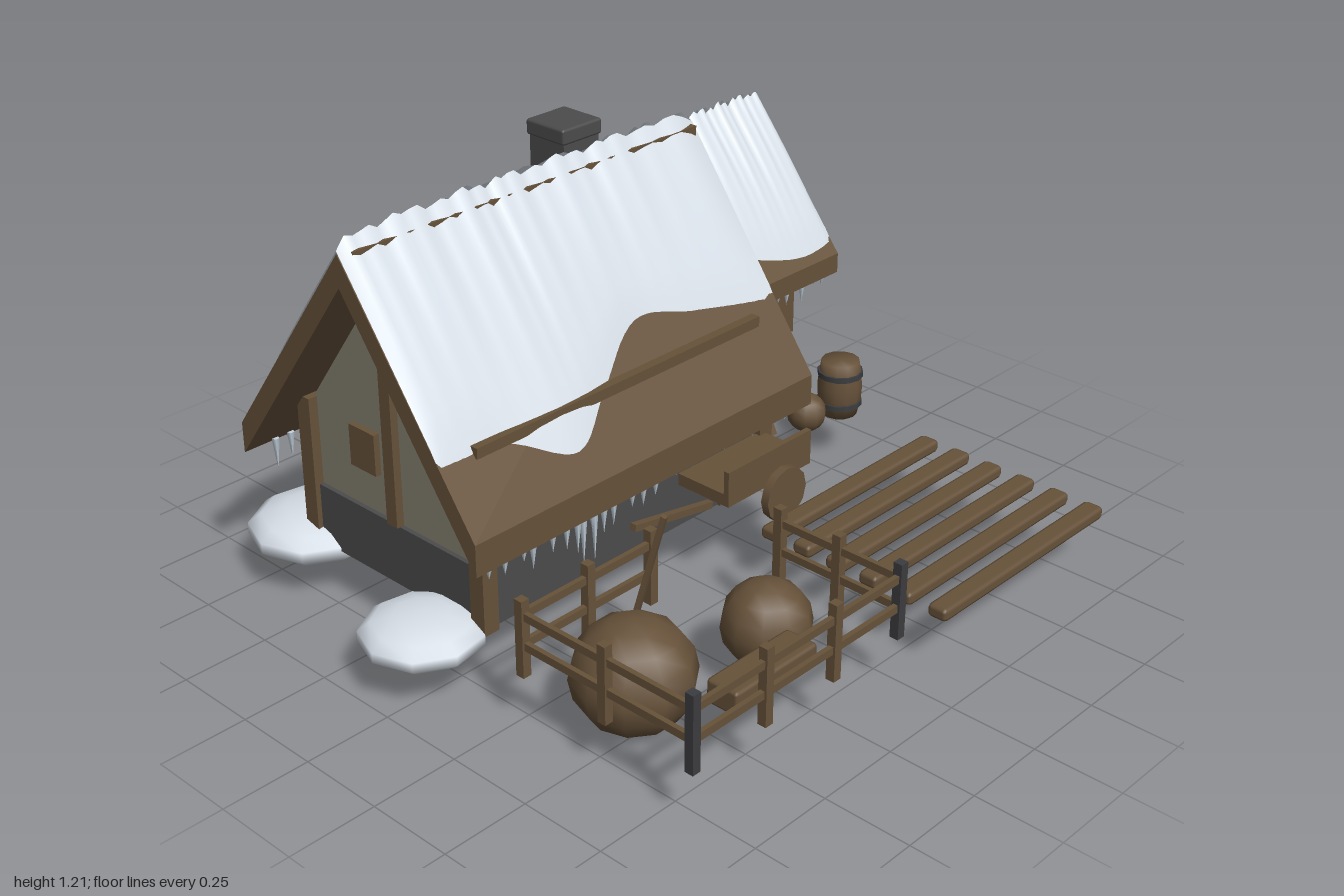
import * as THREE from 'three';
import { RoundedBoxGeometry } from 'three/addons/geometries/RoundedBoxGeometry.js';

const mat = (name, color, side = THREE.FrontSide) => {
  const m = new THREE.MeshStandardMaterial({ color, side });
  m.name = name;
  return m;
};

export function createModel() {
  const root = new THREE.Group();
  root.name = 'snowyCottage';
  const wood = mat('wood', 0x67523a);
  const stone = mat('stone', 0x4c4c4d);
  const iron = mat('iron', 0x3c3d40);
  const plaster = mat('plaster', 0x858070);
  const snow = mat('snow', 0xe2eaf3, THREE.DoubleSide);
  const ice = mat('ice', 0xc3d0dc);

  const add = (name, geo, material, x = 0, y = 0, z = 0) => {
    const m = new THREE.Mesh(geo, material);
    m.name = name;
    m.position.set(x, y, z);
    root.add(m);
    return m;
  };
  // box given by its limits
  const box = (name, m, x0, x1, y0, y1, z0, z1) =>
    add(name, new THREE.BoxGeometry(x1 - x0, y1 - y0, z1 - z0), m, (x0 + x1) / 2, (y0 + y1) / 2, (z0 + z1) / 2);
  // (z, y) profile extruded along x
  const prism = (name, m, pts, x0, x1) => {
    const shape = new THREE.Shape(pts.map(p => new THREE.Vector2(...p)));
    const geo = new THREE.ExtrudeGeometry(shape, { depth: x1 - x0, bevelEnabled: false });
    return add(name, geo.rotateY(-Math.PI / 2), m, x1);
  };
  // thin bar between two points
  const bar = (name, m, a, b, w, h) => {
    const A = new THREE.Vector3(...a), B = new THREE.Vector3(...b);
    const o = add(name, new THREE.BoxGeometry(w, h, A.distanceTo(B)), m);
    o.position.copy(A).add(B).multiplyScalar(0.5);
    o.lookAt(B);
    return o;
  };
  const rand = (s => () => (s = (s * 16807) % 2147483647) / 2147483647)(77);

  // main house: stone base, walls, plaster gable, corner posts
  box('foundation', stone, -0.73, 0.34, 0.16, 0.34, -0.61, 0.07);
  const gable = [[0.05, 0.34], [0.05, 0.6], [-0.26, 1.04], [-0.58, 0.6], [-0.58, 0.34]];
  prism('walls', stone, gable, -0.71, 0.32);
  prism('gablePlaster', plaster, gable, -0.717, -0.71);
  for (const x of [-0.72, 0.33]) {
    for (const z of [0.065, -0.595]) box('cornerPost', wood, x - 0.025, x + 0.025, 0.16, 0.6, z - 0.025, z + 0.025);
  }
  box('gablePost', wood, -0.74, -0.715, 0.34, 1.03, -0.28, -0.24);
  box('gableWindow', wood, -0.735, -0.715, 0.46, 0.58, -0.42, -0.32);

  // annex on posts, with a ramp
  box('annexRoom', wood, 0.33, 0.77, 0.4, 0.74, -0.63, -0.185);
  for (const x of [0.365, 0.735]) {
    for (const z of [-0.23, -0.59]) box('annexPost', wood, x - 0.023, x + 0.023, 0.16, 0.41, z - 0.023, z + 0.023);
  }
  bar('ramp', wood, [0.51, 0.42, -0.21], [0.51, 0.165, -0.08], 0.12, 0.025);

  // roofs with snow sheets lying on both slopes
  const roofs = [
    { name: 'mainRoof', x0: -0.855, x1: 0.395, zr: -0.26, yr: 1.14, zf: 0.195, zb: -0.72, ye: 0.52, t: 0.09, lift: 0.04,
      front: [[-0.855, 0.09], [-0.65, 0.095], [-0.45, 0.155], [-0.3, 0.09], [-0.1, 0.005], [0.1, 0.03], [0.395, 0.07]],
      back: [[-0.855, -0.56], [-0.68, -0.5], [-0.5, -0.54], [-0.3, -0.61], [0, -0.67], [0.12, -0.685], [0.24, -0.64], [0.395, -0.6]] },
    { name: 'annexRoof', x0: 0.24, x1: 0.865, zr: -0.415, yr: 1.035, zf: -0.1, zb: -0.73, ye: 0.65, t: 0.06, lift: 0.045,
      front: [[0.24, -0.22], [0.42, -0.18], [0.6, -0.13], [0.73, -0.11], [0.865, -0.115]],
      back: [[0.24, -0.71], [0.4, -0.68], [0.55, -0.635], [0.67, -0.62], [0.77, -0.65], [0.865, -0.7]] },
  ];
  for (const r of roofs) {
    prism(r.name, wood, [[r.zf, r.ye - r.t], [r.zf, r.ye], [r.zr, r.yr], [r.zb, r.ye], [r.zb, r.ye - r.t], [r.zr, r.yr - r.t]], r.x0, r.x1);
    const NX = 48, NJ = 9;
    const wave = i => 0.008 * Math.sin(i * 2.1) + 0.006 * Math.sin(i * 0.83 + 1);
    for (const side of ['front', 'back']) {
      const edge = new THREE.CatmullRomCurve3(r[side].map(([x, z]) => new THREE.Vector3(x, 0, z)));
      const ze = side === 'front' ? r.zf : r.zb;
      const pos = [], idx = [];
      for (let i = 0; i <= NX; i++) {
        const p = edge.getPoint(i / NX);
        const end = i === 0 || i === NX ? 0.1 : Math.min(1, 0.6 + i / 10, 0.6 + (NX - i) / 10);
        for (let j = 0; j <= NJ; j++) {
          const t = j / NJ, z = r.zr + (p.z - r.zr) * t;
          const roofY = r.yr + (r.ye - r.yr) * (z - r.zr) / (ze - r.zr);
          const h = (r.lift + wave(i) * (1 - t)) * end * (1 - t ** 3) + 0.003 - 0.01 * (j === NJ);
          pos.push(p.x, roofY + h, z);
          if (i < NX && j < NJ) {
            const a = i * (NJ + 1) + j, b = a + NJ + 1;
            side === 'front' ? idx.push(a, a + 1, b, b, a + 1, b + 1) : idx.push(a, b, a + 1, b, b + 1, a + 1);
          }
        }
      }
      const g = new THREE.BufferGeometry();
      g.setAttribute('position', new THREE.Float32BufferAttribute(pos, 3));
      g.setIndex(idx);
      g.computeVertexNormals();
      add(r.name + 'Snow', g, snow);
    }
  }
  box('ridgeBeam', wood, -0.83, 0.38, 1.09, 1.145, -0.285, -0.23);
  bar('frontPurlin', wood, [-0.745, 0.685, 0.075], [0.29, 0.685, 0.075], 0.03, 0.03);
  bar('backPurlin', wood, [-0.745, 0.685, -0.6], [0.3, 0.685, -0.6], 0.03, 0.03);

  // chimney with a cap
  box('chimney', stone, -0.035, 0.095, 0.8, 1.2, -0.455, -0.325);
  add('chimneyCap', new RoundedBoxGeometry(0.145, 0.045, 0.145, 1, 0.008), stone, 0.03, 1.197, -0.39);

  // icicles under the eaves
  const icicles = (n, x0, x1, y, z, len) => {
    for (let i = 0; i < n; i++) {
      const l = len * (0.4 + 0.6 * rand());
      const x = x0 + (x1 - x0) * (i + 0.2 + 0.6 * rand()) / n;
      add('icicle', new THREE.ConeGeometry(0.011, l, 5).rotateX(Math.PI), ice, x, y - l / 2 + 0.01, z);
    }
  };
  icicles(13, -0.82, -0.2, 0.43, 0.185, 0.1);
  icicles(4, -0.2, 0.35, 0.43, 0.185, 0.05);
  icicles(2, -0.5, -0.42, 0.43, 0.185, 0.18);
  icicles(8, 0.42, 0.84, 0.59, -0.11, 0.06);
  icicles(12, -0.82, 0.22, 0.43, -0.71, 0.12);
  icicles(7, 0.26, 0.84, 0.59, -0.72, 0.1);
  icicles(1, 0.27, 0.3, 0.59, -0.72, 0.36);

  // snow mounds around the walls
  for (const [x, z, r] of [[-0.68, -0.67, 0.19], [0.14, -0.68, 0.21], [0.83, -0.74, 0.165], [-0.83, -0.05, 0.17]]) {
    add('snowMound', new THREE.SphereGeometry(1, 9, 7), snow, x, 0.155, z).scale.set(r, r * 0.37, r);
  }

  // front bench with board, disc and leaning plank
  box('benchSeat', wood, -0.01, 0.33, 0.29, 0.325, 0.06, 0.25);
  box('benchBoard', wood, -0.01, 0.33, 0.29, 0.395, 0.235, 0.252);
  box('benchLeg', wood, 0.15, 0.18, 0.16, 0.29, 0.06, 0.08);
  add('disc', new THREE.CylinderGeometry(0.08, 0.08, 0.025, 12).rotateX(Math.PI / 2), wood, 0.2, 0.255, 0.268);
  bar('leaningPlank', wood, [-0.27, 0.3, 0.15], [0.03, 0.245, 0.15], 0.02, 0.02);

  // fenced yard
  const runs = [
    [[-0.79, 0.28], [-0.34, 0.28], 2], [[-0.79, 0.84], [-0.79, 0.28], 2],
    [[-0.03, 0.84], [-0.79, 0.84], 3], [[-0.03, 0.45], [-0.03, 0.84], 2],
  ];
  for (const [a, b, n] of runs) {
    for (const y of [0.25, 0.335]) bar('fenceRail', wood, [a[0], y, a[1]], [b[0], y, b[1]], 0.014, 0.022);
    for (let i = 0; i <= n; i++) {
      const x = a[0] + (b[0] - a[0]) * i / n, z = a[1] + (b[1] - a[1]) * i / n;
      const corner = z > 0.83 && (x < -0.78 || x > -0.04);
      if (corner && i === n) continue; // the next run supplies this post
      box('fencePost', corner ? iron : wood, x - 0.013, x + 0.013, 0.16, 0.38, z - 0.013, z + 0.013);
    }
  }
  const ball = (name, r, x, y, z) => add(name, new THREE.SphereGeometry(r, 10, 8), wood, x, y, z);
  ball('largeHeap', 0.165, -0.6, 0.16, 0.47).scale.y = 0.94;
  ball('smallHeap', 0.122, -0.23, 0.18, 0.58);
  add('trough', new RoundedBoxGeometry(0.3, 0.07, 0.1, 1, 0.01), wood, -0.42, 0.195, 0.73);
  bar('forkHandle', wood, [-0.47, 0.54, 0.45], [-0.49, 0.23, 0.37], 0.014, 0.014);

  // row of planks
  for (let i = 0; i < 6; i++) {
    add('plank', new RoundedBoxGeometry(0.73, 0.038, 0.06, 1, 0.012), wood, 0.465, 0.177, 0.302 + i * 0.1125);
  }

  // barrel with hoops, and a sack
  const prof = [[0, 0.155], [0.055, 0.155], [0.066, 0.21], [0.068, 0.25], [0.064, 0.29], [0.058, 0.33], [0, 0.33]];
  add('barrel', new THREE.LatheGeometry(prof.map(p => new THREE.Vector2(...p)), 12), wood, 0.83, 0, -0.045);
  for (const y of [0.195, 0.29]) add('barrelHoop', new THREE.CylinderGeometry(0.069, 0.069, 0.016, 12), iron, 0.83, y, -0.045);
  ball('sack', 0.06, 0.7, 0.195, -0.065);

  return root;
}
